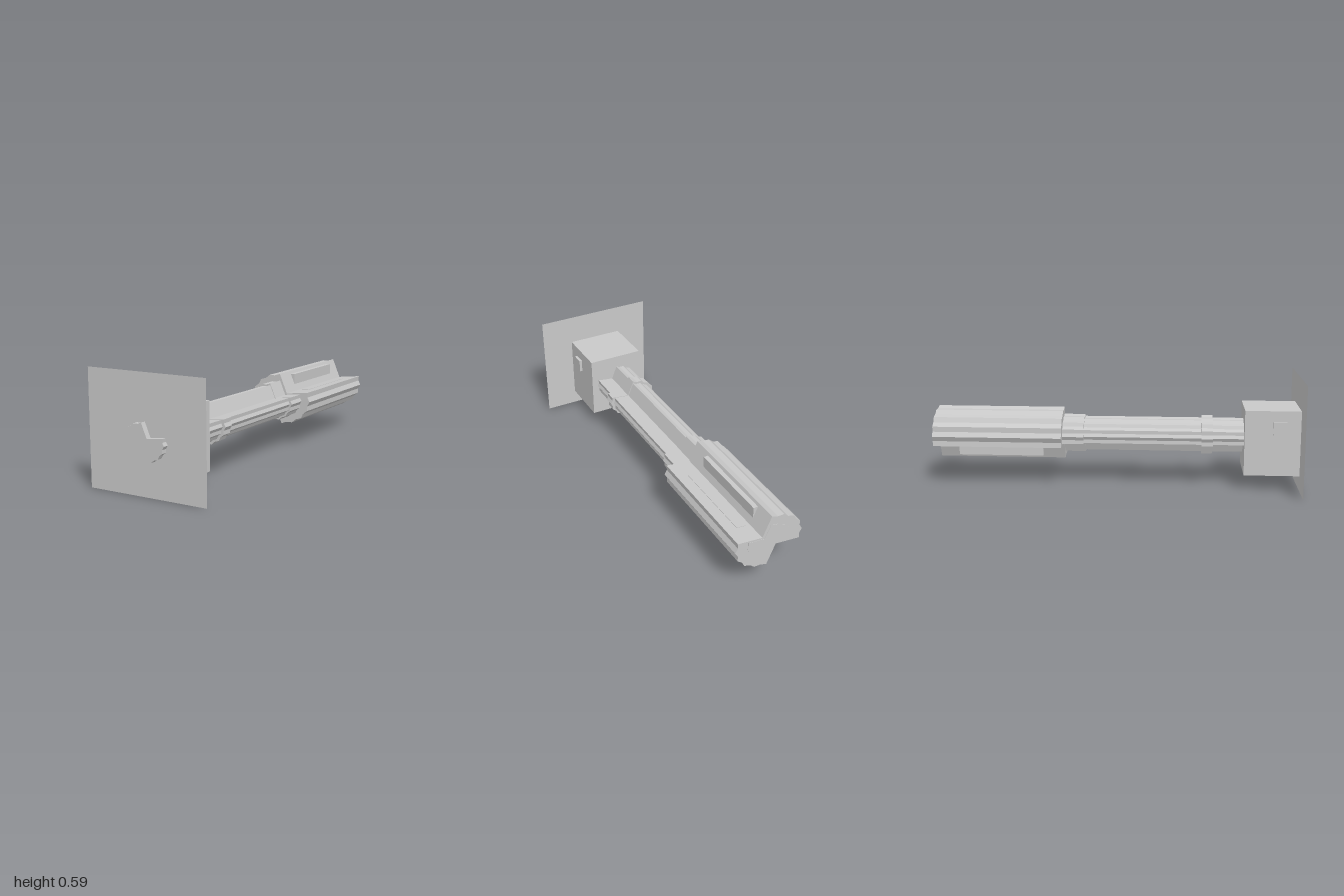
import * as THREE from 'three';

const AXIS_Y = 0.267;

// Fluted cross-section with two opposite V notches (half a turn apart)
function notchedShape(scale) {
  const half = [];
  const steps = 10;
  for (let i = 0; i <= steps; i++) {
    const t = THREE.MathUtils.degToRad(-88 + (108 * i) / steps);
    const k = i % 2 ? 0.94 : 1;
    half.push([0.187 * k * Math.cos(t), 0.145 * k * Math.sin(t)]);
  }
  half.push([0.04, 0.034]); // bottom of the notch
  const all = half.concat(half.map(([x, y]) => [-x, -y]));
  return new THREE.Shape(all.map(([x, y]) => new THREE.Vector2(x * scale, y * scale)));
}

export function createModel() {
  const model = new THREE.Group();
  model.name = 'handle';
  const grey = new THREE.MeshStandardMaterial({ color: 0xc8c8c8 });
  grey.name = 'grey';
  const greySheet = new THREE.MeshStandardMaterial({ color: 0xc8c8c8, side: THREE.DoubleSide });
  greySheet.name = 'grey';

  const add = (name, geometry, parent = model, material = grey) => {
    const mesh = new THREE.Mesh(geometry, material);
    mesh.name = name;
    parent.add(mesh);
    return mesh;
  };

  // Fluted lengths along z: [name, scale, back z, front z]
  for (const [name, scale, z0, z1] of [
    ['grip', 1, -0.9985, -0.3],
    ['gripCollar', 0.73, -0.3, -0.185],
    ['shaft', 0.66, -1, 1],
    ['shaftRing', 0.75, 0.45, 0.51],
  ]) {
    const geometry = new THREE.ExtrudeGeometry(notchedShape(scale), {
      depth: z1 - z0, bevelEnabled: false,
    });
    add(name, geometry).position.set(0, AXIS_Y, z0);
  }

  // Raised strips in both notches of the grip
  for (const turn of [0, Math.PI]) {
    const strips = new THREE.Group();
    strips.name = 'notchStrips';
    strips.position.set(0, AXIS_Y, -0.655);
    strips.rotation.z = turn;
    add('wallStrip', new THREE.BoxGeometry(0.03, 0.066, 0.47), strips)
      .position.set(0.01, 0.096, 0);
    const floor = add('floorStrip', new THREE.BoxGeometry(0.05, 0.006, 0.47), strips);
    floor.position.set(0.09, 0.039, 0);
    floor.rotation.z = 0.11;
    model.add(strips);
  }

  // Block near the front with a button on each side
  add('block', new THREE.BoxGeometry(0.312, 0.35, 0.295)).position.set(0, 0.255, 0.823);
  for (const side of [-1, 1]) {
    add('sideButton', new THREE.BoxGeometry(0.03, 0.07, 0.07))
      .position.set(side * 0.156, 0.336, 0.86);
  }

  // Flat sheet against the block's front, with the shaft end passing through
  add('frontSheet', new THREE.PlaneGeometry(0.672, 0.593), model, greySheet)
    .position.set(0, 0.2965, 0.971);

  return model;
}
